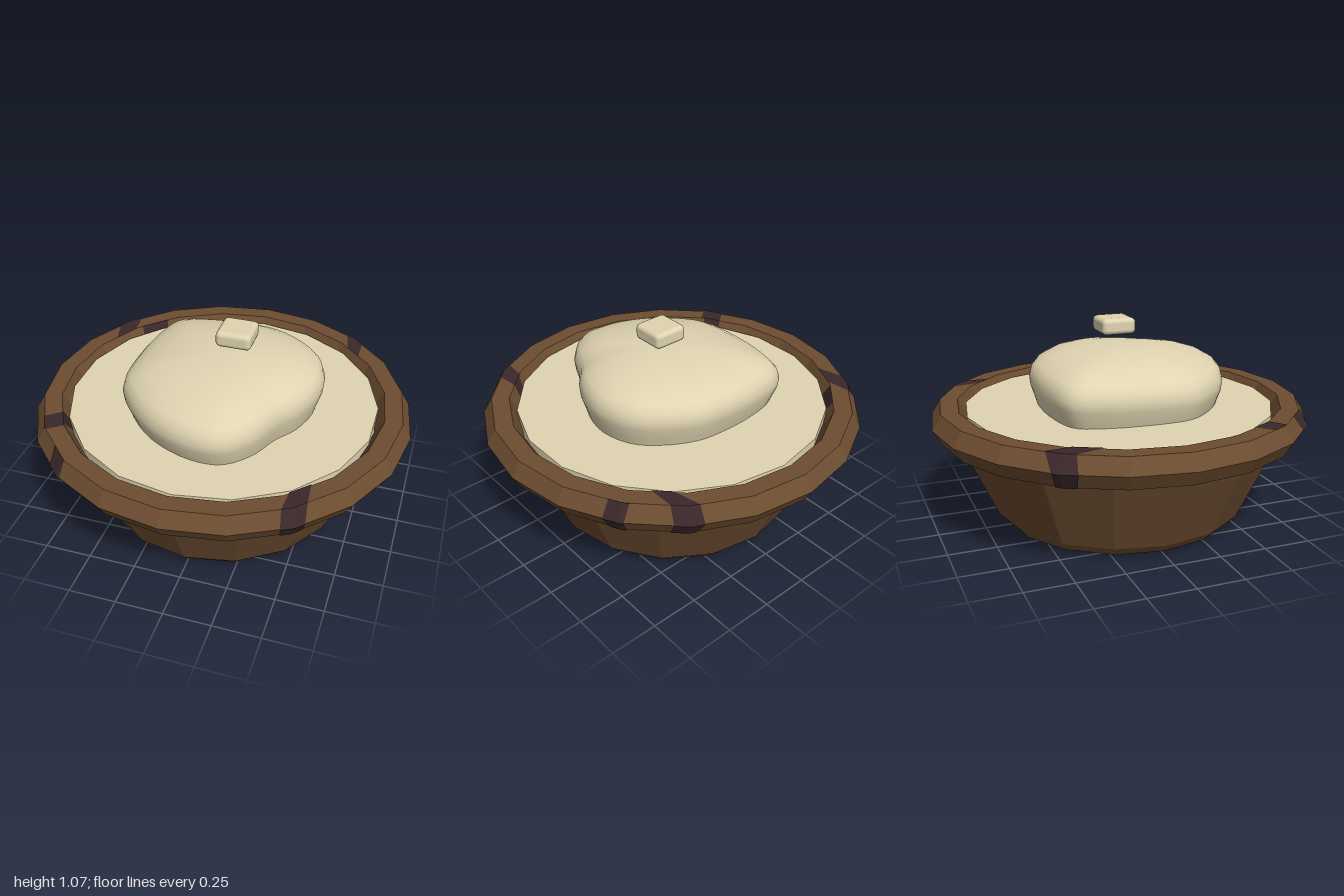
import * as THREE from 'three';
import { RoundedBoxGeometry } from 'three/addons/geometries/RoundedBoxGeometry.js';

const RIM_R = 0.907, RIM_Y = 0.567, RIM_T = 0.093, RIM_SIDES = 20;

// Corner k of the six-sided rim section, grown by an offset
function rimCorner(k, grow = 0) {
  const a = (k * Math.PI) / 3, t = RIM_T + grow;
  return new THREE.Vector2(RIM_R + t * Math.cos(a), RIM_Y + 0.97 * t * Math.sin(a));
}

function buildGeometry(positions, index) {
  const g = new THREE.BufferGeometry();
  g.setAttribute('position', new THREE.Float32BufferAttribute(positions, 3));
  g.setIndex(index);
  g.computeVertexNormals();
  return g;
}

// Thin stain on rim face k; a0..a1 and b0..b1 are degrees along its two edges
function stainGeometry(k, a0, a1, b0, b1) {
  const steps = 8, positions = [], index = [];
  const step = (2 * Math.PI) / RIM_SIDES;
  const put = (corner, deg) => {
    const a = THREE.MathUtils.degToRad(deg);
    const local = a - Math.floor(a / step) * step - step / 2;
    const p = rimCorner(corner, 0.004);
    const r = p.x * Math.cos(step / 2) / Math.cos(local);
    positions.push(r * Math.sin(a), p.y, r * Math.cos(a));
  };
  for (let i = 0; i <= steps; i++) {
    put(k, THREE.MathUtils.lerp(a0, a1, i / steps));
    put(k + 1, THREE.MathUtils.lerp(b0, b1, i / steps));
    if (i < steps) {
      const p = i * 2;
      index.push(p, p + 2, p + 1, p + 2, p + 3, p + 1);
    }
  }
  return buildGeometry(positions, index);
}

// Soft lump: one irregular outline stacked in shrinking loops
function lumpGeometry() {
  const outline = [
    [0, 0.59], [0.17, 0.58], [0.3, 0.46], [0.38, 0.3], [0.47, 0.17], [0.525, -0.04],
    [0.47, -0.24], [0.33, -0.37], [0.19, -0.44], [0.09, -0.46], [-0.18, -0.46],
    [-0.4, -0.4], [-0.46, -0.26], [-0.49, -0.05], [-0.48, 0.22], [-0.4, 0.35], [-0.23, 0.5],
  ].map(([x, z]) => new THREE.Vector3(x, 0, z));
  const n = 64;
  const ring = new THREE.CatmullRomCurve3(outline, true).getPoints(n).slice(0, n);
  const levels = [
    [0.9, 0.57], [0.95, 0.65], [0.99, 0.71], [1, 0.755], [0.975, 0.8], [0.92, 0.835],
    [0.8, 0.87], [0.62, 0.9], [0.4, 0.92], [0.2, 0.928], [0.001, 0.93],
  ];
  const cx = 0.04, cz = 0.04, positions = [], index = [];
  levels.forEach(([s, y], row) => {
    ring.forEach((p, j) => {
      const x = cx + (p.x - cx) * s, z = cz + (p.z - cz) * s;
      positions.push(x, y + s * (0.025 * x - 0.02 * z), z);
      if (row < levels.length - 1) {
        const a = row * n + j, b = row * n + ((j + 1) % n);
        index.push(a, b, a + n, b, b + n, a + n);
      }
    });
  });
  return buildGeometry(positions, index);
}

export function createModel() {
  const model = new THREE.Group();
  const wood = new THREE.MeshStandardMaterial({ color: 0x6d4d31, flatShading: true });
  wood.name = 'brown wood';
  const stain = new THREE.MeshStandardMaterial({ color: 0x3a282a, flatShading: true });
  stain.name = 'dark stain';
  const cream = new THREE.MeshStandardMaterial({ color: 0xe0d4b1 });
  cream.name = 'cream';

  const add = (name, geometry, material, parent = model) => {
    const mesh = new THREE.Mesh(geometry, material);
    mesh.name = name;
    parent.add(mesh);
    return mesh;
  };

  // Bowl body
  const profile = [[0, 0], [0.56, 0], [0.63, 0.02], [0.675, 0.07], [0.87, 0.49], [0.905, 0.565]]
    .map(([r, y]) => new THREE.Vector2(r, y));
  add('bowl', new THREE.LatheGeometry(profile, 16), wood);

  // Chunky six-sided rim
  const section = [0, 1, 2, 3, 4, 5, 6].map((k) => rimCorner(k));
  add('rim', new THREE.LatheGeometry(section, RIM_SIDES), wood);

  // Stains: rim face, then angles along its first and second edge
  const stains = new THREE.Group();
  stains.name = 'rimStains';
  model.add(stains);
  [
    [5, 33, 40, 32, 39], [0, 32, 39, 33, 41], [1, 33, 41, 38, 46], [2, 39, 46, 44, 49],
    [5, 139, 146, 140, 148], [0, 140, 148, 139, 147], [1, 139, 147, 133, 140],
    [4, 140, 146, 140, 146], [5, 122, 127, 121, 127], [0, 121, 127, 122, 128],
    [5, -128, -122, -128, -121], [0, -128, -121, -131, -122], [1, -131, -122, -125, -115],
    [2, -139, -128, -138, -127],
    [5, -43, -36, -42, -35], [0, -42, -35, -44, -36],
    [1, -60, -53, -61, -53], [2, -61, -54, -61, -56],
  ].forEach((s) => add('rimStain', stainGeometry(...s), stain, stains));

  // Filling, lump of mash and floating pat
  add('filling', new THREE.CylinderGeometry(0.82, 0.82, 0.12, 18), cream).position.y = 0.56;
  add('lump', lumpGeometry(), cream);
  add('pat', new RoundedBoxGeometry(0.185, 0.085, 0.185, 2, 0.025), cream)
    .position.set(0.073, 1.028, 0.002);

  return model;
}
